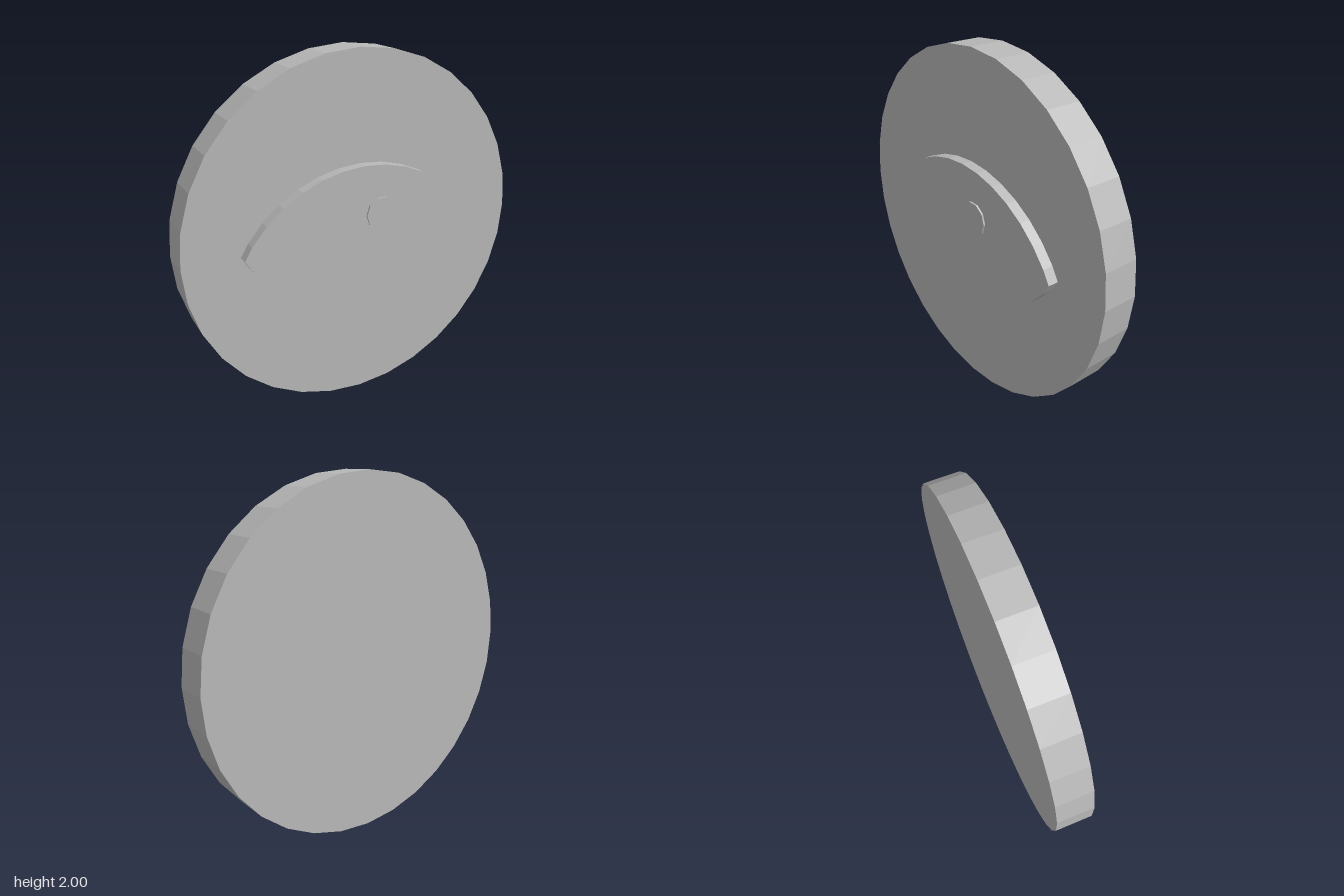
import * as THREE from 'three';

const stone = new THREE.MeshStandardMaterial({ color: 0xb8b8b8 });
stone.name = 'grey';

// Regular polygon outline with a vertex on the +x axis
function polygon(sides, radius, cx, cy) {
  return Array.from({ length: sides }, (_, i) => {
    const a = (i / sides) * Math.PI * 2;
    return new THREE.Vector2(cx + radius * Math.cos(a), cy + radius * Math.sin(a));
  });
}

// Lens outline: two facetted arcs meeting in sharp corners
function lens(radius, offset, tip, cy) {
  const upper = [];
  for (let deg = 54; deg >= -54; deg -= 9) {
    const a = THREE.MathUtils.degToRad(deg);
    upper.push(new THREE.Vector2(radius * Math.sin(a), radius * Math.cos(a) - offset));
  }
  const right = new THREE.Vector2(tip, 0);
  const left = new THREE.Vector2(-tip, 0);
  const lower = upper.map((p) => new THREE.Vector2(-p.x, -p.y));
  return [right, ...upper, left, ...lower].map((p) => new THREE.Vector2(p.x, p.y + cy));
}

// Flat-sided plate between two depths
function plate(name, points, back, front) {
  const geometry = new THREE.ExtrudeGeometry(new THREE.Shape(points), {
    depth: front - back,
    bevelEnabled: false,
  });
  geometry.translate(0, 0, back);
  const mesh = new THREE.Mesh(geometry, stone);
  mesh.name = name;
  return mesh;
}

export function createModel() {
  const model = new THREE.Group();
  model.name = 'eyeMedallion';
  model.add(
    plate('disc', polygon(32, 1, 0, 1), -0.135, 0.065),
    plate('eye', lens(0.8, 0.4, 0.69, 1), 0.065, 0.125),
    plate('pupil', polygon(10, 0.095, 0.1, 1.12), 0.125, 0.135),
  );
  return model;
}
